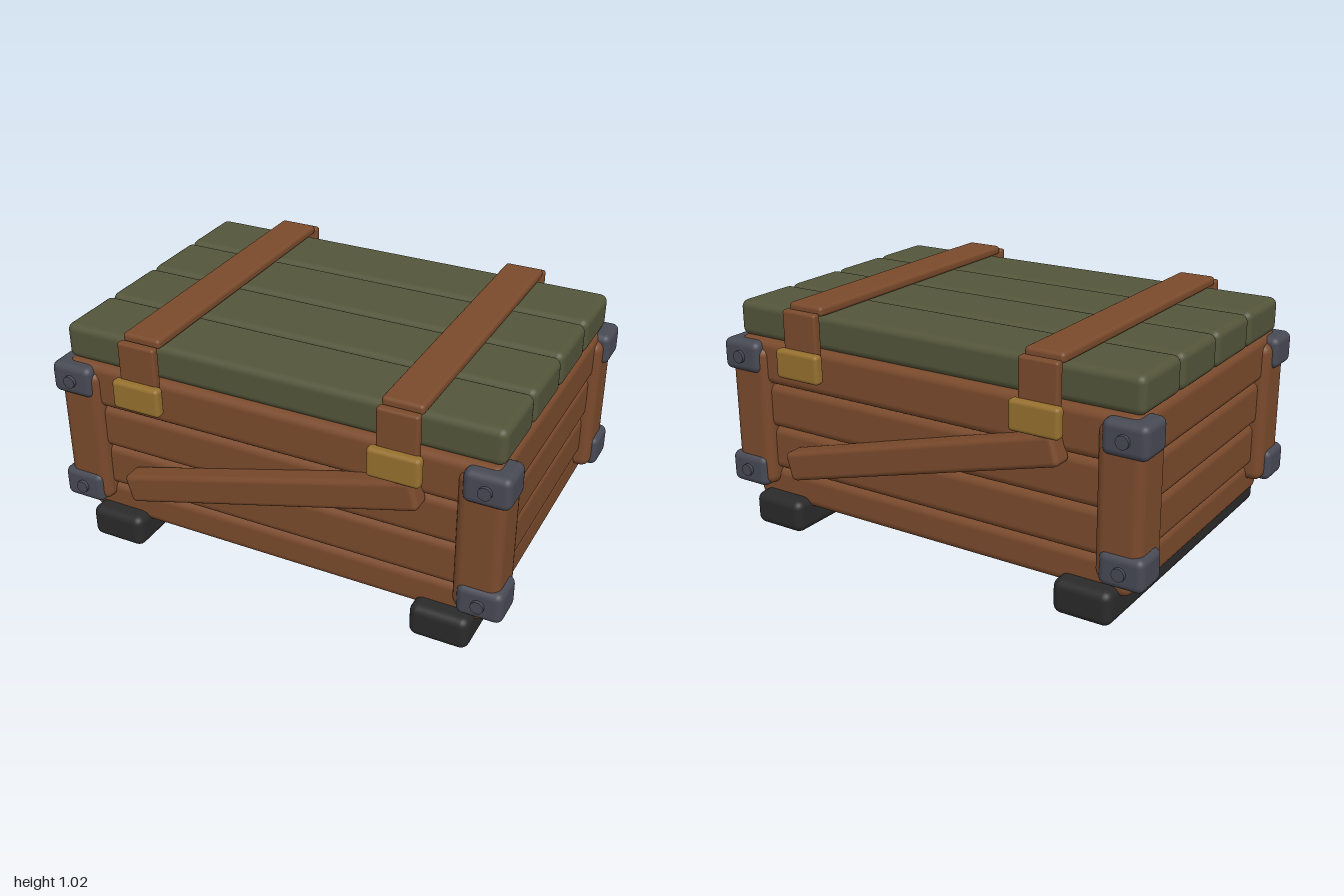
import * as THREE from 'three';
import { RoundedBoxGeometry } from 'three/addons/geometries/RoundedBoxGeometry.js';

const paint = (name, color) => {
  const m = new THREE.MeshStandardMaterial({ color });
  m.name = name;
  return m;
};

export function createModel() {
  const wood = paint('brown wood', 0x7a4a2c);
  const olive = paint('olive paint', 0x53553a);
  const black = paint('black rubber', 0x2a2a2a);
  const steel = paint('dark steel', 0x474954);
  const brass = paint('brass', 0x96702f);

  const crate = new THREE.Group();
  crate.name = 'crate';

  // Rounded box given by its minimum and maximum on each axis
  const box = (name, material, [x0, x1], [y0, y1], [z0, z1], radius) => {
    const geometry = new RoundedBoxGeometry(x1 - x0, y1 - y0, z1 - z0, 3, radius);
    const mesh = new THREE.Mesh(geometry, material);
    mesh.name = name;
    mesh.position.set((x0 + x1) / 2, (y0 + y1) / 2, (z0 + z1) / 2);
    crate.add(mesh);
    return mesh;
  };
  // Range on one side of the centre
  const range = (side, a, b) => (side > 0 ? [a, b] : [-b, -a]);

  // Stacked wall planks, slightly wider towards the top
  const levels = [0.1, 0.25, 0.445, 0.64, 0.835];
  const halfX = [0.912, 0.93, 0.94, 0.95];
  const halfZ = [0.625, 0.635, 0.645, 0.655];
  halfX.forEach((x, i) => {
    box('wallPlank', wood, [-x, x], [levels[i], levels[i + 1]], [-halfZ[i], halfZ[i]], 0.036);
  });

  // Lid planks
  for (let i = 0; i < 4; i++) {
    const z = (i - 1.5) * 0.317;
    box('lidPlank', olive, [-0.95, 0.95], [0.83, 0.983], [z - 0.155, z + 0.155], 0.032);
  }

  for (const sx of [-1, 1]) {
    // Runner under each end
    box('runner', black, range(sx, 0.622, 0.872), [0, 0.145], [-0.7, 0.7], 0.036);
    // Strap over the lid
    box('topStrap', wood, range(sx, 0.475, 0.645), [0.982, 1.024], [-0.66, 0.66], 0.016);

    for (const sz of [-1, 1]) {
      // Strap ends and buckles
      box('strapEnd', wood, range(sx, 0.475, 0.645), [0.73, 1.002], range(sz, 0.665, 0.704), 0.012);
      box('buckle', brass, range(sx, 0.45, 0.667), [0.717, 0.842], range(sz, 0.688, 0.736), 0.017);
      // Corner post
      box('cornerPost', wood, range(sx, 0.785, 0.977), [0.18, 0.803], range(sz, 0.482, 0.678), 0.04);

      // Corner brackets with a rivet on the front or back
      for (const y of [0.242, 0.757]) {
        box('cornerBracket', steel, range(sx, 0.81, 1), [y - 0.069, y + 0.069], range(sz, 0.53, 0.694), 0.03);
        const rivet = new THREE.Mesh(new THREE.CylinderGeometry(0.027, 0.027, 0.03, 16), steel);
        rivet.name = 'rivet';
        rivet.rotation.x = Math.PI / 2;
        rivet.position.set(sx * 0.905, y, sz * 0.693);
        crate.add(rivet);
      }
    }
  }

  // Diagonal braces, the back one turned half round from the front one
  for (const sz of [-1, 1]) {
    const brace = box('diagonalBrace', wood, [-0.67, 0.67], [0.433, 0.56], range(sz, 0.63, 0.727), 0.022);
    brace.rotation.z = sz * 0.268;
  }

  return crate;
}
